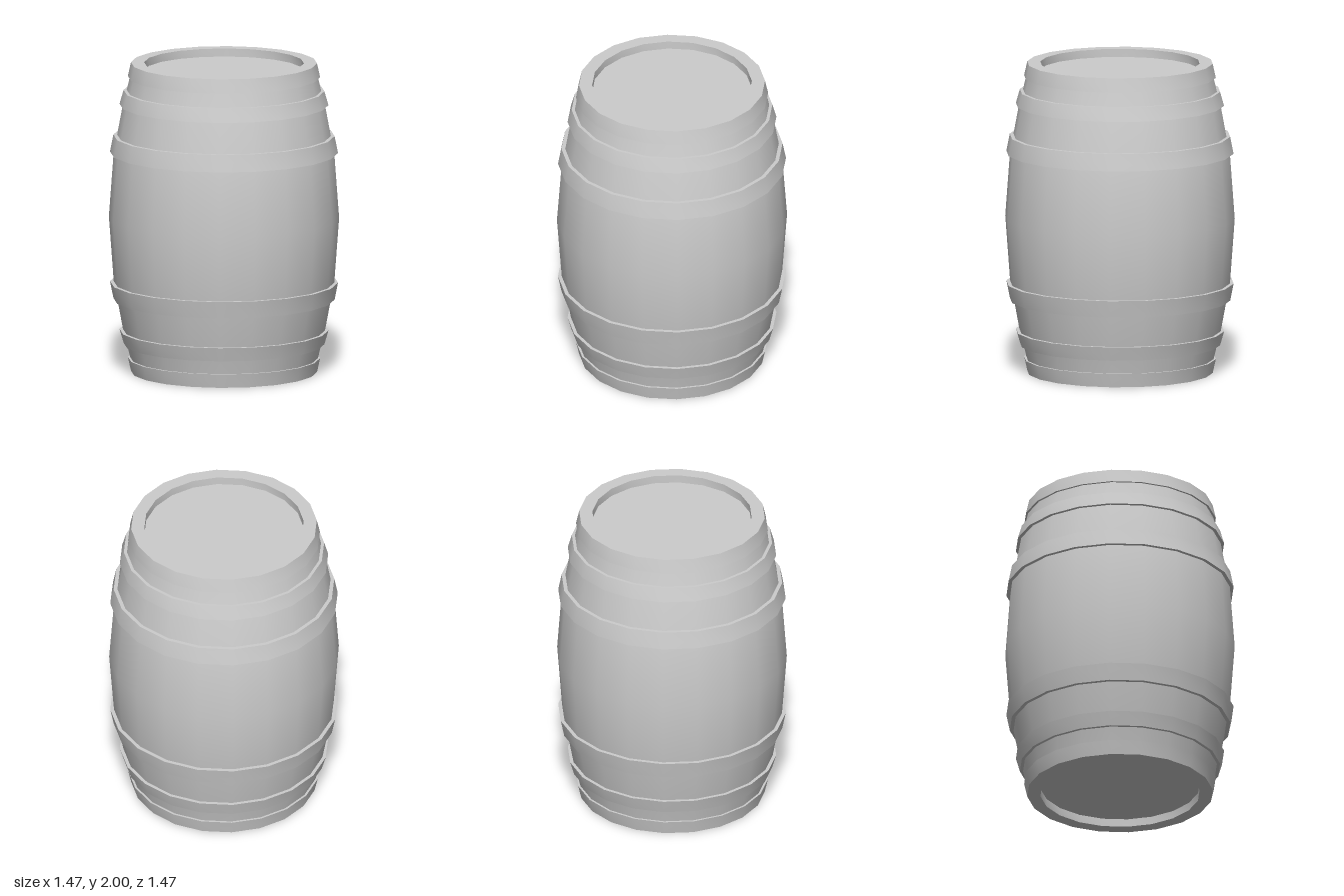
import * as THREE from 'three';
import { toCreasedNormals } from 'three/addons/utils/BufferGeometryUtils.js';

const SIDES = 20;
const material = new THREE.MeshStandardMaterial({ color: 0xcccccc });

// Revolve a [radius, height] profile, keeping the rims sharp and the sides smooth
function turned(name, profile) {
  const points = profile.map(([r, y]) => new THREE.Vector2(r, y));
  const geometry = toCreasedNormals(new THREE.LatheGeometry(points, SIDES), 0.7);
  const mesh = new THREE.Mesh(geometry, material);
  mesh.name = name;
  return mesh;
}

// Upper half of the bulging stave wall, from the belly up to the rim
const upperWall = [[0.735, 1], [0.704, 1.42], [0.682, 1.53], [0.645, 1.73], [0.621, 1.82], [0.6, 1.91], [0.578, 2]];
const mirrorY = ([r, y]) => [r, 2 - y];

// Upper hoops: bottom and top heights, outer radii, inner radii on the wall
const hoops = [
  { name: 'bellyHoop', y: [1.42, 1.53], outer: [0.728, 0.706], inner: [0.69, 0.67] },
  { name: 'quarterHoop', y: [1.73, 1.82], outer: [0.667, 0.641], inner: [0.63, 0.61] },
  { name: 'rimHoop', y: [1.91, 2], outer: [0.614, 0.594], inner: [0.59, 0.578] },
];

export function createModel() {
  const barrel = new THREE.Group();
  barrel.name = 'barrel';

  // Staves with both heads set in below the rims
  const headRadius = 0.51, headDepth = 0.052;
  const lowerHead = [[0, headDepth], [headRadius, headDepth], [headRadius, 0]];
  barrel.add(turned('body', [
    ...lowerHead,
    ...upperWall.slice(1).reverse().map(mirrorY),
    ...upperWall,
    ...lowerHead.map(mirrorY).reverse(),
  ]));

  // Each hoop is a closed band, repeated upside down on the lower half
  for (const { name, y, outer, inner } of hoops) {
    const band = [[inner[0], y[0]], [outer[0], y[0]], [outer[1], y[1]], [inner[1], y[1]]];
    barrel.add(turned(name + 'Upper', band));
    barrel.add(turned(name + 'Lower', band.map(mirrorY).reverse()));
  }
  return barrel;
}
